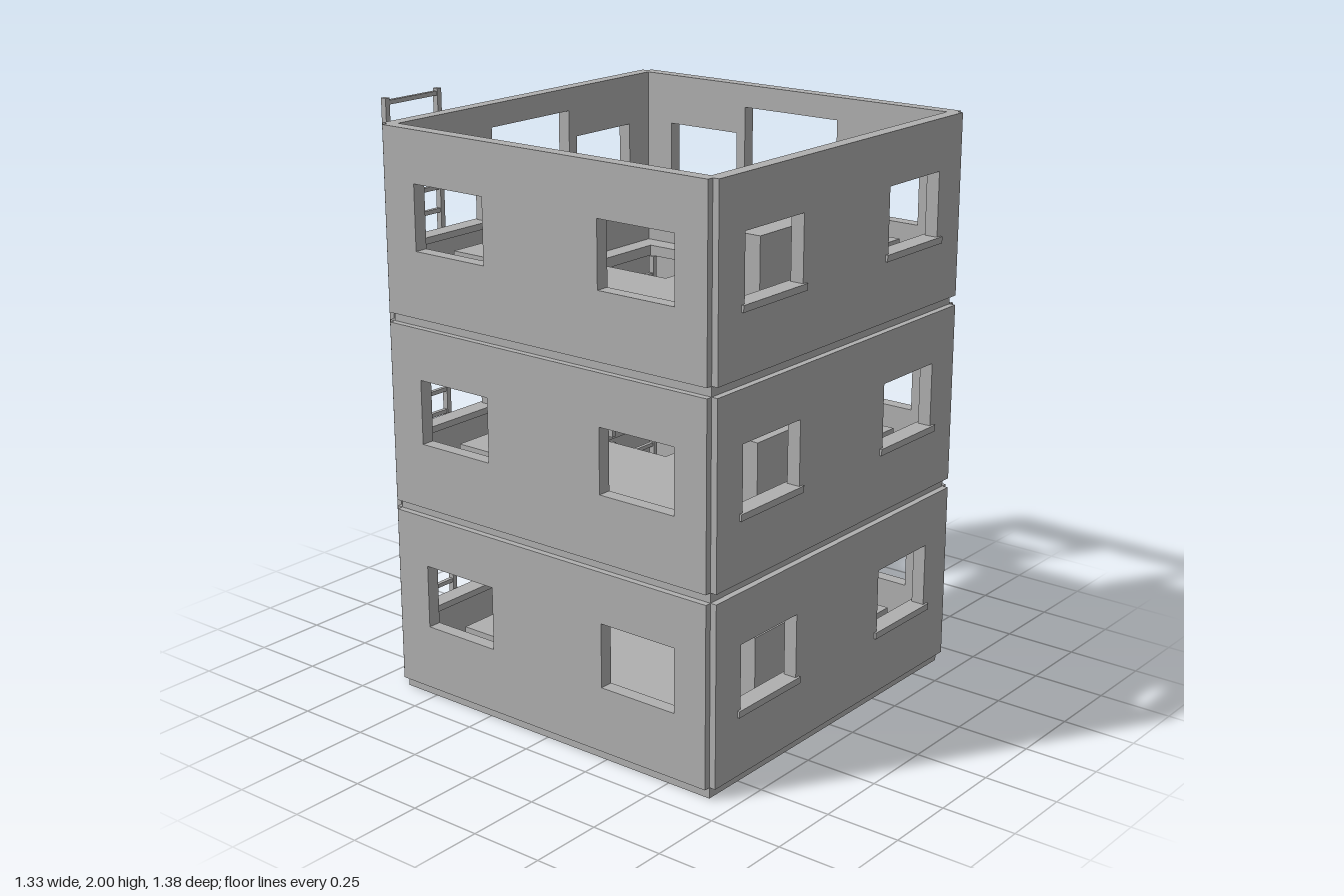
import * as THREE from 'three';

const PITCH = 0.6425; // storey height
const SLAB = 0.037;
const WALL_H = 0.61;
const T = 0.046; // wall thickness
const WINDOW = { y0: 0.221, y1: 0.438 };
const DOOR_H = 0.532;

export function createModel() {
  const model = new THREE.Group();
  model.name = 'towerBuilding';
  const grey = new THREE.MeshStandardMaterial({ color: 0xb0b0b0 });
  grey.name = 'concreteGrey';

  const add = (parent, name, geometry) => {
    const mesh = new THREE.Mesh(geometry, grey);
    mesh.name = name;
    parent.add(mesh);
    return mesh;
  };

  // Box given by its limits on each axis
  const box = (parent, name, x0, x1, y0, y1, z0, z1) => {
    const mesh = add(parent, name, new THREE.BoxGeometry(x1 - x0, y1 - y0, z1 - z0));
    mesh.position.set((x0 + x1) / 2, (y0 + y1) / 2, (z0 + z1) / 2);
    return mesh;
  };

  const rectPath = (x0, x1, y0, y1) => new THREE.Path([
    new THREE.Vector2(x0, y0), new THREE.Vector2(x0, y1),
    new THREE.Vector2(x1, y1), new THREE.Vector2(x1, y0),
  ]);

  // Wall with window holes and an optional door notch
  const wallGeometry = (u0, u1, windows, door) => {
    const s = new THREE.Shape();
    s.moveTo(u0, 0);
    if (door) {
      s.lineTo(door[0], 0);
      s.lineTo(door[0], DOOR_H);
      s.lineTo(door[1], DOOR_H);
      s.lineTo(door[1], 0);
    }
    s.lineTo(u1, 0);
    s.lineTo(u1, WALL_H);
    s.lineTo(u0, WALL_H);
    s.closePath();
    for (const [a, b] of windows) s.holes.push(rectPath(a, b, WINDOW.y0, WINDOW.y1));
    return new THREE.ExtrudeGeometry(s, { depth: T, bevelEnabled: false });
  };

  // Floor slab, with a ladder hatch on the upper storeys
  const slabGeometry = (hatch) => {
    const s = new THREE.Shape([
      new THREE.Vector2(-0.645, -0.66), new THREE.Vector2(0.645, -0.66),
      new THREE.Vector2(0.645, 0.63), new THREE.Vector2(-0.645, 0.63),
    ]);
    if (hatch) s.holes.push(rectPath(0.22, 0.55, 0.205, 0.54));
    return new THREE.ExtrudeGeometry(s, { depth: SLAB, bevelEnabled: false }).rotateX(-Math.PI / 2);
  };

  // Ladder with two rails and evenly spaced rungs
  const ladder = (parent, name, x0, x1, z0, z1, top, firstRung, step) => {
    const g = new THREE.Group();
    g.name = name;
    box(g, 'ladderRail', x0, x0 + 0.018, 0, top, z0, z1);
    box(g, 'ladderRail', x1 - 0.018, x1, 0, top, z0, z1);
    const zc = (z0 + z1) / 2;
    for (let y = firstRung; y < top - 0.005; y += step) {
      box(g, 'ladderRung', x0 + 0.018, x1 - 0.018, y - 0.007, y + 0.007, zc - 0.007, zc + 0.007);
    }
    parent.add(g);
    return g;
  };

  const frontWindows = [[-0.52, -0.23], [0.23, 0.515]];
  const sideWindows = [[-0.5, -0.21], [0.25, 0.54]];

  for (let i = 0; i < 3; i++) {
    const storey = new THREE.Group();
    storey.name = 'storey' + (i + 1);
    storey.position.y = SLAB + i * PITCH;
    model.add(storey);

    add(storey, 'floorSlab', slabGeometry(i > 0)).position.y = -SLAB;

    // Outer walls
    add(storey, 'frontWall', wallGeometry(-0.645, 0.645, frontWindows)).position.z = 0.682 - T;
    add(storey, 'backWall', wallGeometry(-0.645, 0.645, frontWindows, [-0.195, 0.19])).position.z = -0.652;
    const turn = -Math.PI / 2;
    add(storey, 'rightWall', wallGeometry(-0.63, 0.66, sideWindows, [-0.175, 0.21]).rotateY(turn)).position.x = 0.667;
    add(storey, 'leftWall', wallGeometry(-0.63, 0.66, sideWindows).rotateY(turn)).position.x = -0.667 + T;

    // Window sills at front and back
    for (const side of [-1, 1]) {
      const x = side * 0.375;
      box(storey, 'frontSill', x - 0.16, x + 0.16, 0.2, 0.222, 0.625, 0.69);
      box(storey, 'backSill', x - 0.16, x + 0.16, 0.2, 0.222, -0.662, -0.6);
    }

    // Furniture blocks
    box(storey, 'lowCabinet', -0.6, -0.435, 0, 0.226, -0.4, -0.065);
    box(storey, 'tallCabinet', -0.35, -0.065, 0, 0.38, 0.5, 0.61);
    box(storey, 'table', 0.08, 0.41, 0, 0.226, 0.44, 0.607);

    // Inside ladder up to the next hatch
    if (i < 2) ladder(storey, 'insideLadder', 0.26, 0.512, -0.502, -0.482, 0.62, 0.088, 0.0775);
  }

  // Posts on the back wall
  for (const side of [-1, 1]) {
    const x = side * 0.6;
    box(model, 'backPost', x - 0.02, x + 0.02, 0.01, 0.57, -0.679, -0.645);
  }

  // Tall ladder standing behind the building
  ladder(model, 'outsideLadder', -0.605, -0.355, -0.695, -0.675, 2, 0.052, 0.0773);

  return model;
}
